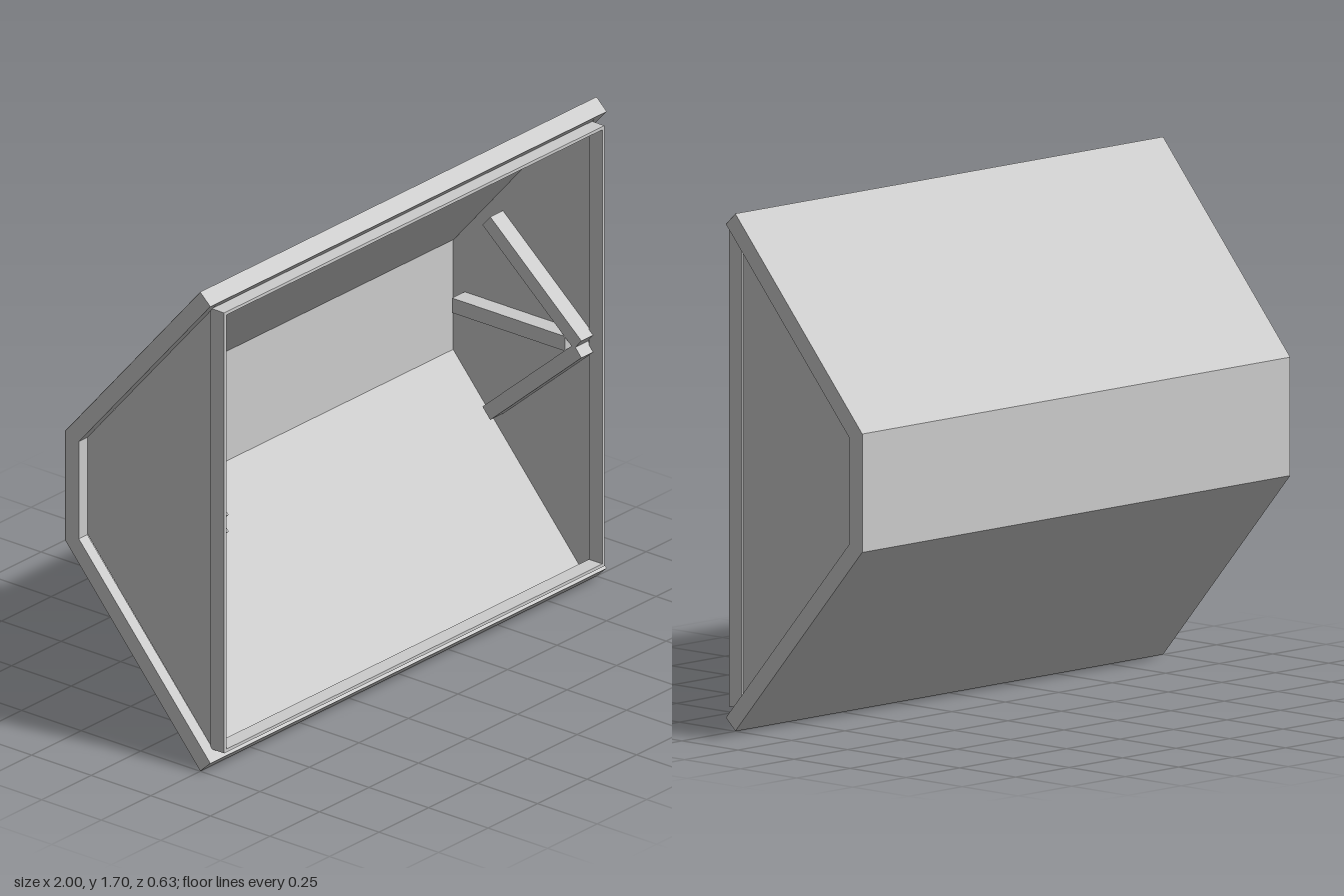
import * as THREE from 'three';

const MID = 0.848; // height of the horizontal symmetry plane
const solid = new THREE.MeshStandardMaterial({ color: 0xcccccc, flatShading: true });
const sheet = new THREE.MeshStandardMaterial({ color: 0xcccccc, flatShading: true, side: THREE.DoubleSide });

// Completes an upper half outline of [z, y] points by reflecting it about MID
const mirrored = (half) => [...half, ...half.map(([z, y]) => [z, -y]).reverse()];

const toShape = (outline) => new THREE.Shape(outline.map(([z, y]) => new THREE.Vector2(z, MID + y)));

function named(name, geometry, material) {
  const mesh = new THREE.Mesh(geometry, material);
  mesh.name = name;
  return mesh;
}

// Solid prism from a [z, y] outline, running from x0 to x1
function prism(name, outline, x0, x1) {
  const geometry = new THREE.ExtrudeGeometry(toShape(outline), { depth: x1 - x0, bevelEnabled: false });
  geometry.rotateY(-Math.PI / 2).translate(x1, 0, 0);
  return named(name, geometry, solid);
}

// Folded sheet following a [z, y] path, running from -halfWidth to halfWidth
function foldedSheet(name, path, halfWidth) {
  const positions = [];
  for (let i = 0; i + 1 < path.length; i++) {
    const [z0, y0] = path[i], [z1, y1] = path[i + 1];
    const a = [-halfWidth, MID + y0, z0], b = [halfWidth, MID + y0, z0];
    const c = [halfWidth, MID + y1, z1], d = [-halfWidth, MID + y1, z1];
    positions.push(...a, ...c, ...b, ...a, ...d, ...c);
  }
  const geometry = new THREE.BufferGeometry();
  geometry.setAttribute('position', new THREE.Float32BufferAttribute(positions, 3));
  geometry.computeVertexNormals();
  return named(name, geometry, sheet);
}

function rect(path, w, h) {
  path.moveTo(-w, -h);
  path.lineTo(w, -h);
  path.lineTo(w, h);
  path.lineTo(-w, h);
  path.closePath();
  return path;
}

export function createModel() {
  const group = new THREE.Group();
  group.name = 'openFrontHousing';

  // Outer skin: front lips, sloping top, upright back and sloping bottom
  const skin = mirrored([[0.26, 0.774], [0.293, 0.808], [0.25, 0.848], [-0.317, 0.194]]);
  group.add(foldedSheet('skin', skin, 1));

  // Thin rectangular sleeve around the front opening
  const frameShape = rect(new THREE.Shape(), 0.96, 0.779);
  frameShape.holes.push(rect(new THREE.Path(), 0.949, 0.768));
  const frame = named('frontFrame',
    new THREE.ExtrudeGeometry(frameShape, { depth: 0.057, bevelEnabled: false }), solid);
  frame.position.set(0, MID, 0.26);
  group.add(frame);

  // Thick rim at each end, just under the skin
  const rim = [
    ...mirrored([[0.25, 0.847], [-0.316, 0.1935]]),
    ...mirrored([[-0.26, 0.172], [0.292, 0.808]].reverse()).reverse(),
  ];

  // Slanted brace, square to the sloping plate, with its foot near the front
  const angle = THREE.MathUtils.degToRad(40.7);
  const c = Math.cos(angle), s = Math.sin(angle);
  const length = 0.505, thick = 0.05;
  const foot = [0.278, 0.03];
  const brace = [
    foot,
    [foot[0] - c * length, foot[1] + s * length],
    [foot[0] - c * length - s * thick, foot[1] + s * length - c * thick],
    [foot[0] - s * thick, foot[1] - c * thick],
  ];
  const level = mirrored([[0.21, 0.026], [-0.265, 0.026]]);

  // Each end: rim, thin panel and a fan of three braces on its inner face
  for (const [side, sign] of [['left', 1], ['right', -1]]) {
    const part = (name, outline, a, b) =>
      group.add(prism(side + name, outline, Math.min(sign * a, sign * b), Math.max(sign * a, sign * b)));
    part('Rim', rim, 0.957, 1);

    const panelShape = toShape(mirrored([[0.26, 0.774], [-0.26, 0.172]]));
    const panel = named(side + 'EndPanel', new THREE.ShapeGeometry(panelShape).rotateY(-Math.PI / 2), sheet);
    panel.position.x = sign * 0.955;
    group.add(panel);

    part('UpperBrace', brace, 0.89, 0.954);
    part('MiddleBrace', level, 0.89, 0.954);
    part('LowerBrace', brace.map(([z, y]) => [z, -y]), 0.89, 0.954);
  }
  return group;
}
